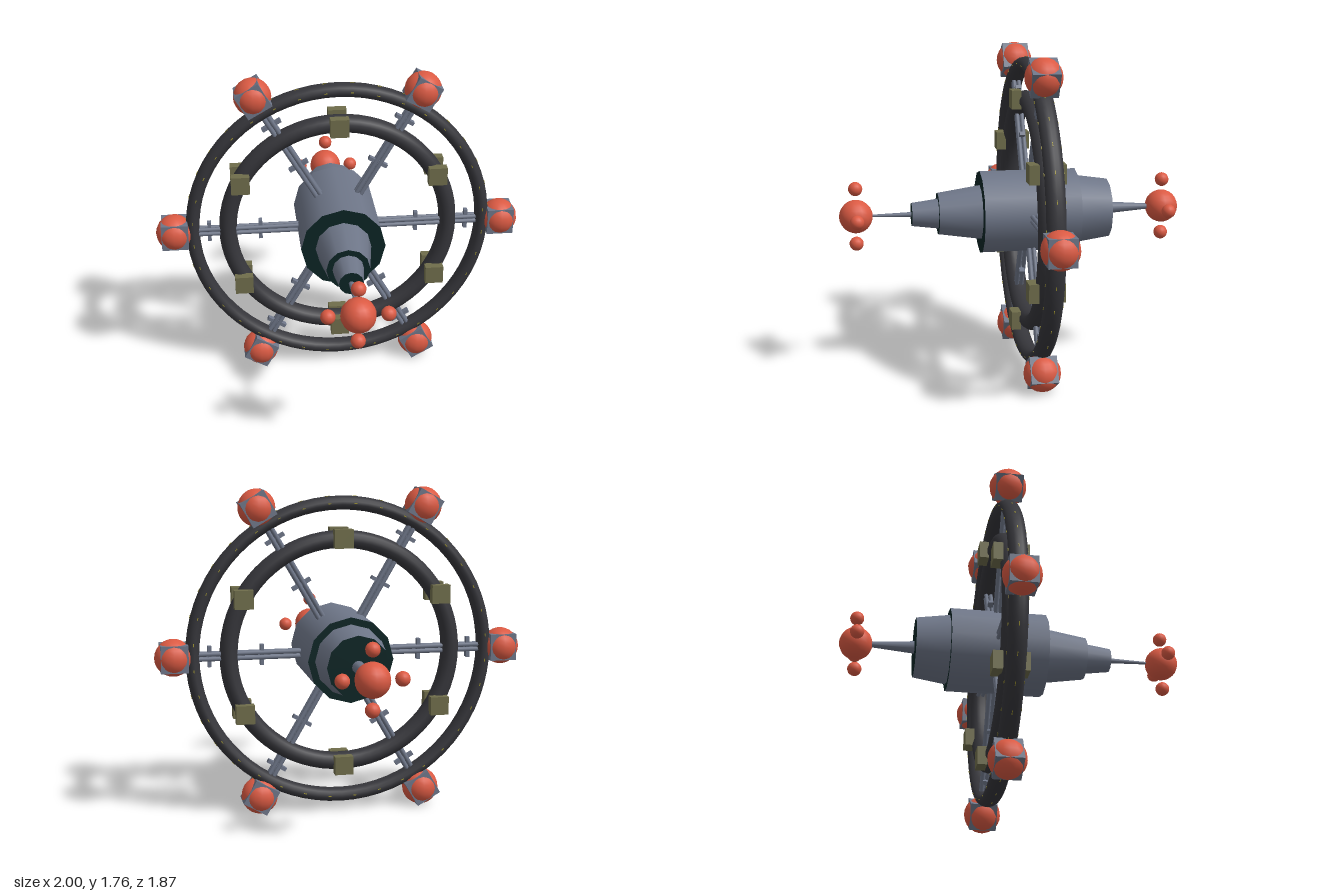
import * as THREE from 'three';

const mat = (name, color, opts = {}) => {
  const m = new THREE.MeshStandardMaterial({ color, ...opts });
  m.name = name;
  return m;
};

export function createModel() {
  const hull = mat('hull grey', 0x6e7688);
  const dark = mat('dark teal', 0x0b2424);
  const tube = mat('ring charcoal', 0x36363b);
  const red = mat('tank red', 0xdb5a43);
  const olive = mat('olive', 0x6f6d4b);
  const amber = mat('light yellow', 0x9c9230);

  const station = new THREE.Group();
  station.name = 'station';
  const add = (parent, name, geo, material, x = 0, y = 0, z = 0) => {
    const m = new THREE.Mesh(geo, material);
    m.name = name;
    m.position.set(x, y, z);
    parent.add(m);
    return m;
  };
  const CY = 0.883, RZ = -0.092;

  // Hub: tapered sections along z, grey sides with dark end caps
  const hub = new THREE.Group();
  hub.name = 'hub';
  hub.position.y = CY;
  station.add(hub);
  const section = (name, zBack, zFront, rBack, rFront, caps = dark) => {
    const geo = new THREE.CylinderGeometry(rFront, rBack, zFront - zBack, 12);
    geo.rotateX(Math.PI / 2);
    add(hub, name, geo, [hull, caps, caps], 0, 0, (zBack + zFront) / 2);
  };
  section('mainHull', -0.352, 0.173, 0.227, 0.227);
  section('frontHull', 0.172, 0.403, 0.15, 0.115);
  section('noseHull', 0.402, 0.545, 0.083, 0.064);
  section('rearHull', -0.533, -0.351, 0.163, 0.19);
  section('frontMast', 0.544, 0.79, 0.014, 0.006, hull);
  section('rearMast', -0.79, -0.532, 0.013, 0.034, hull);

  // Tank clusters at both ends of the hub
  const ball = (r) => new THREE.SphereGeometry(r, 16, 12);
  for (const z of [0.843, -0.847]) {
    add(hub, 'endTank', ball(0.09), red, 0, 0, z);
    for (let i = 0; i < 4; i++) {
      const a = i * Math.PI / 2;
      add(hub, 'satelliteTank', ball(0.038), red, 0.15 * Math.cos(a), 0.15 * Math.sin(a), z);
    }
  }

  // Wheel: two rings, six spokes with rim tanks
  const wheel = new THREE.Group();
  wheel.name = 'wheel';
  wheel.position.set(0, CY, RZ);
  station.add(wheel);
  const ring = (name, R, r, depth) => {
    const geo = new THREE.TorusGeometry(R, r, 14, 72);
    geo.scale(1, 1, depth / r);
    add(wheel, name, geo, tube);
  };
  ring('outerRing', 0.8, 0.037, 0.05);
  ring('innerRing', 0.608, 0.048, 0.055);

  for (let i = 0; i < 6; i++) {
    const spoke = new THREE.Group();
    spoke.name = 'spoke';
    spoke.rotation.z = i * Math.PI / 3;
    wheel.add(spoke);
    // Bundle of four rods
    for (const y of [-0.013, 0.013]) for (const z of [-0.013, 0.013]) {
      const rod = new THREE.CylinderGeometry(0.012, 0.012, 0.72, 8);
      rod.rotateZ(Math.PI / 2);
      add(spoke, 'spokeRod', rod, hull, 0.51, y, z);
    }
    // Clamps across the rods
    for (const x of [0.43, 0.71]) {
      add(spoke, 'clamp', new THREE.BoxGeometry(0.02, 0.112, 0.03), hull, x, 0, 0);
    }
    // Tank held in a box frame whose corners show
    add(spoke, 'tankFrame', new THREE.BoxGeometry(0.145, 0.145, 0.145), hull, 0.897, 0, 0);
    const tank = add(spoke, 'rimTank', ball(0.1), red, 0.9, 0, 0);
    tank.rotation.z = -spoke.rotation.z;

    // Paired equipment blocks on the inner ring, between spokes
    const a = (i + 0.5) * Math.PI / 3;
    for (const s of [-1, 1]) {
      add(wheel, 'equipmentBlock', new THREE.BoxGeometry(0.1, 0.1, 0.052), olive,
        0.615 * Math.cos(a), 0.615 * Math.sin(a), s * 0.069);
    }
  }

  // Small lights around the outer ring: rim, front and back
  for (let i = 0; i < 36; i++) {
    const light = new THREE.Group();
    light.name = 'ringLights';
    light.rotation.z = (i + 0.5) * Math.PI / 18;
    wheel.add(light);
    add(light, 'rimLight', new THREE.BoxGeometry(0.003, 0.022, 0.004), amber, 0.837, 0, 0);
    for (const s of [-1, 1]) {
      add(light, 'sideLight', new THREE.BoxGeometry(0.004, 0.016, 0.003), amber, 0.8, 0, s * 0.05);
    }
  }
  return station;
}
